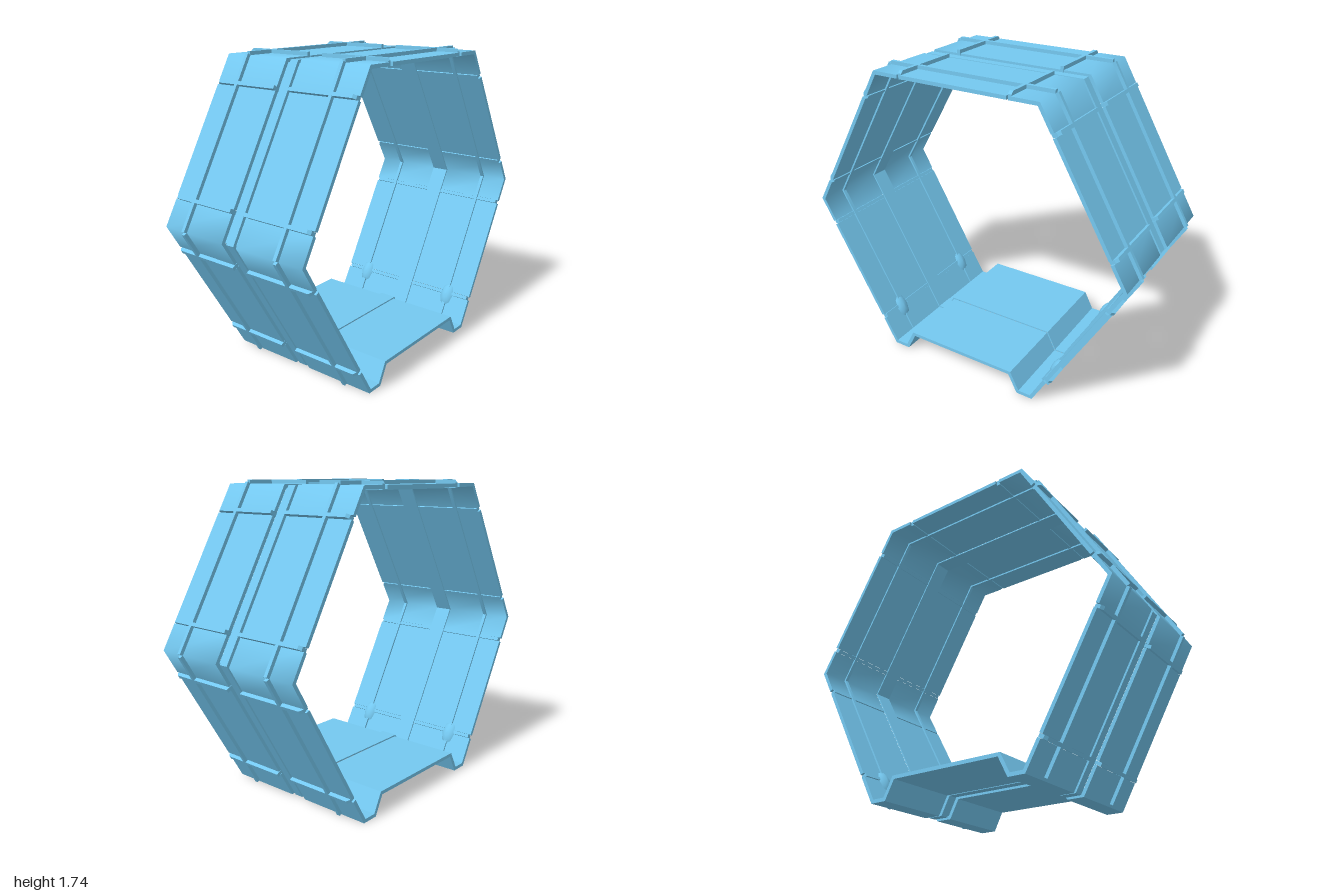
import * as THREE from 'three';
import { toCreasedNormals } from 'three/addons/utils/BufferGeometryUtils.js';

const CY = 0.865;                       // height of the hexagon's centre
const OUT = 0.85, IN = 0.83;            // apothems of the wall panels
const Z0 = 0.05, Z1 = 0.475;            // depth range of one half
const SEAM = 0.325, GAP = 0.0115;       // cross seams along each side
const rad = THREE.MathUtils.degToRad;
const SIDES = [-30, 30, 90, 150, 210].map(rad);   // outward directions, floor left open

const mat = new THREE.MeshStandardMaterial({ color: 0x74c8f0 });

// point on a side: s along the side, a outwards from the centre
const on = (th, s, a) => new THREE.Vector2(
  a * Math.cos(th) - s * Math.sin(th), CY + a * Math.sin(th) + s * Math.cos(th));

const corner = (th, a) => on(th, a * Math.tan(Math.PI / 6), a);

// feet and raised floor, from -x to +x
const FLOOR = [[-0.482, 0], [-0.385, 0], [-0.33, 0.107], [0.33, 0.107], [0.385, 0], [0.482, 0]]
  .map(p => new THREE.Vector2(...p));

// whole ring outline, counter-clockwise
const RING = [...SIDES.slice(0, 4).map(th => corner(th, OUT)), ...FLOOR];

// mitred inward offset of the ring outline
function inset(d) {
  return RING.map((p, i) => {
    const a = RING[(i + RING.length - 1) % RING.length], b = RING[(i + 1) % RING.length];
    const u = p.clone().sub(a).normalize(), v = b.clone().sub(p).normalize();
    const n1 = new THREE.Vector2(-u.y, u.x), n2 = new THREE.Vector2(-v.y, v.x);
    return p.clone().addScaledVector(n1.clone().add(n2), d / (1 + n1.dot(n2)));
  });
}

function mesh(name, geo) {
  const m = new THREE.Mesh(geo, mat);
  m.name = name;
  return m;
}

function extrude(shape, z0, z1) {
  return new THREE.ExtrudeGeometry(shape, { depth: z1 - z0, bevelEnabled: false }).translate(0, 0, z0);
}

// full ring between two insets
function band(name, d0, d1, z0, z1) {
  const shape = new THREE.Shape(inset(d0));
  shape.holes.push(new THREE.Path(inset(d1)));
  return mesh(name, extrude(shape, z0, z1));
}

// panel between an outer and an inner line
function panel(name, outer, inner, smooth) {
  const geo = extrude(new THREE.Shape([...outer, ...inner.reverse()]), Z0, Z1);
  return mesh(name, smooth ? toCreasedNormals(geo, rad(70)) : geo);
}

function buildHalf() {
  const g = new THREE.Group();
  g.name = 'hullHalf';
  const e = SEAM + GAP, f = SEAM - GAP;

  SIDES.forEach((th, i) => {
    // flat wall panel
    const flat = a => [on(th, -f, a), on(th, f, a)];
    g.add(panel('wallPanel', flat(OUT), flat(IN), false));

    // softly shaded corner panel
    if (i < 4) {
      const bend = a => [on(th, e, a), corner(th, a), on(SIDES[i + 1], -e, a)];
      g.add(panel('cornerPanel', bend(OUT), bend(IN), true));
    }

    // long rib around the ring
    const rib = mesh('longRib', new THREE.BoxGeometry(0.05, 0.984, 0.02));
    const c = on(th, 0, 0.845);
    rib.position.set(c.x, c.y, 0.32);
    rib.rotation.z = th;
    g.add(rib);

    // cross ribs filling the seams, chamfered at the open end
    for (const s of [-SEAM, SEAM]) {
      const prof = new THREE.Shape([[0.825, Z0], [0.87, Z0], [0.87, 0.448], [0.855, 0.463], [0.825, 0.463]]
        .map(p => new THREE.Vector2(...p)));
      const cross = mesh('crossRib', extrude(prof, -0.01, 0.01).rotateX(Math.PI / 2));
      const o = on(th, s, 0);
      cross.position.set(o.x, o.y, 0);
      cross.rotation.z = th;
      g.add(cross);
    }
  });

  // feet and floor
  const last = SIDES[4], first = SIDES[0];
  g.add(panel('floorPanel',
    [on(last, e, OUT), ...FLOOR, on(first, -e, OUT)],
    [on(last, e, IN), ...inset(0.02).slice(4), on(first, -e, IN)], false));

  // domed lamps on the inner walls above the feet
  for (const [th, s] of [[first, -0.335], [last, 0.335]]) {
    const prof = [[0.08, -0.005], [0.078, 0.002], [0.055, 0.018], [0.026, 0.026], [0, 0.028]]
      .map(p => new THREE.Vector2(...p));
    const lamp = mesh('lamp', new THREE.LatheGeometry(prof, 8));
    const p = on(th, s, 0.836);
    lamp.position.set(p.x, p.y, 0.32);
    lamp.rotation.z = th + Math.PI / 2;
    lamp.scale.z = 0.6;
    g.add(lamp);
  }
  return g;
}

export function createModel() {
  const model = new THREE.Group();
  model.name = 'hexagonalCorridor';

  // two identical halves, back to back
  const front = buildHalf(), back = buildHalf();
  back.rotation.y = Math.PI;
  model.add(front, back);

  // recessed joint with a raised centre band
  model.add(band('centreBand', 0.005, 0.03, -0.025, 0.025));
  model.add(band('jointStep', 0.022, 0.03, 0.025, 0.052));
  model.add(band('jointStep', 0.022, 0.03, -0.052, -0.025));
  return model;
}
